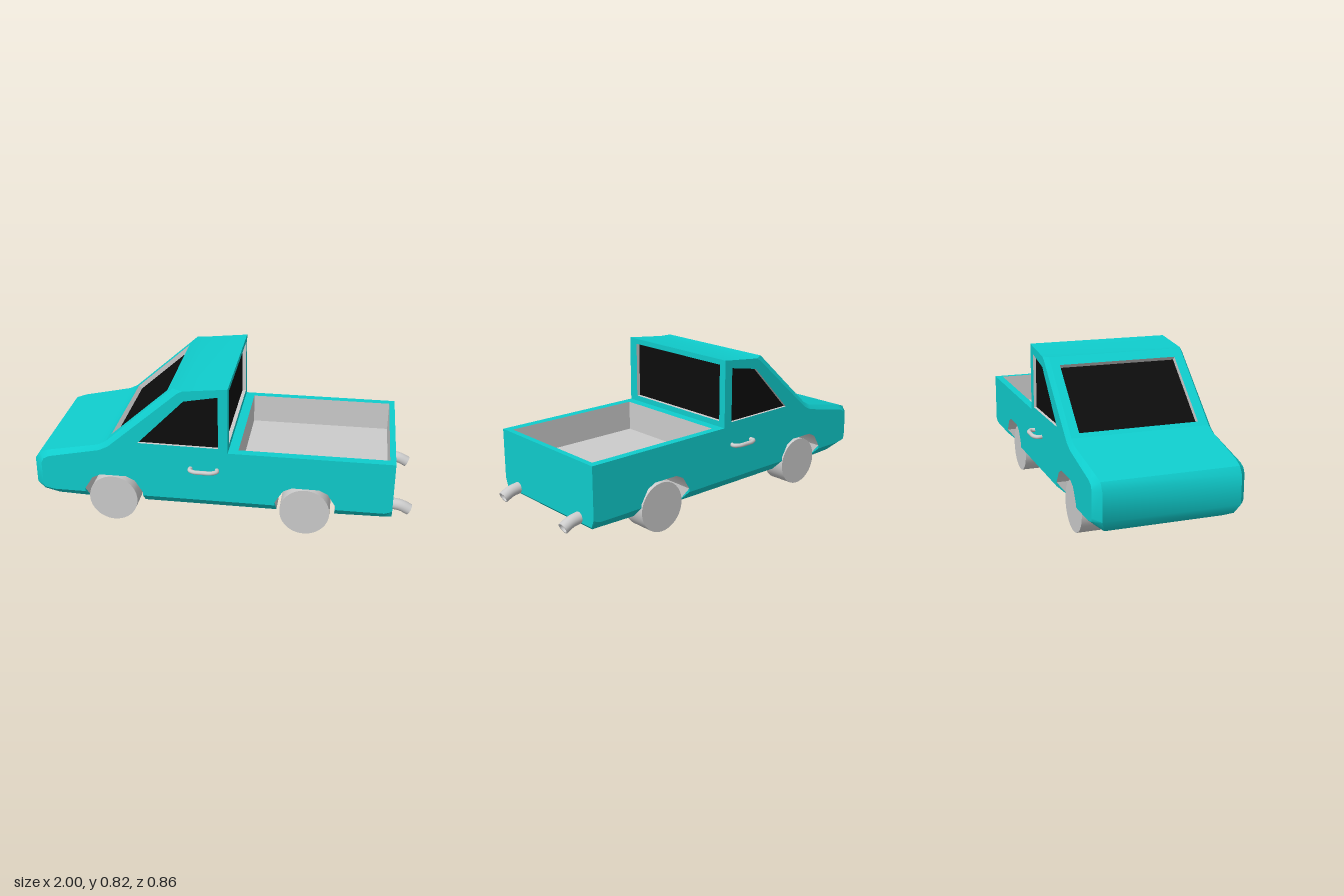
import * as THREE from 'three';
import { toCreasedNormals } from 'three/addons/utils/BufferGeometryUtils.js';

const paint = new THREE.MeshStandardMaterial({ color: 0x0fcccc });
const glass = new THREE.MeshStandardMaterial({ color: 0x0c0c0c });
const grey = new THREE.MeshStandardMaterial({ color: 0xcccccc });
const greyBoth = new THREE.MeshStandardMaterial({ color: 0xcccccc, side: THREE.DoubleSide });
const HALF = 0.38;

function add(parent, name, geometry, material) {
  const mesh = new THREE.Mesh(geometry, material);
  mesh.name = name;
  parent.add(mesh);
  return mesh;
}

// geometry from a list of four-cornered faces, soft over shallow edges
function quads(faces) {
  const pos = [];
  for (const [a, b, c, d] of faces) pos.push(...a, ...b, ...c, ...a, ...c, ...d);
  const g = new THREE.BufferGeometry();
  g.setAttribute('position', new THREE.Float32BufferAttribute(pos, 3));
  return toCreasedNormals(g, 0.6);
}

const toPoints = (list) => list.map(([x, y]) => new THREE.Vector2(x, y));

// sunken walls and floor behind an opening in the local xy plane
function recess(parent, name, hole, depth, floorMaterial) {
  const walls = hole.map(([x, y], i) => {
    const [u, v] = hole[(i + 1) % hole.length];
    return [[x, y, 0], [u, v, 0], [u, v, -depth], [x, y, -depth]];
  });
  add(parent, name + 'Frame', quads(walls), greyBoth);
  const floor = new THREE.ShapeGeometry(new THREE.Shape(toPoints(hole)));
  add(parent, name, floor.translate(0, 0, -depth), floorMaterial);
}

// flat body panel with an opening; local x runs along z, local y along the profile
function openPanel(parent, name, p, q, [z0, z1, s0, s1], depth, floorMaterial) {
  const d = new THREE.Vector3(q[0] - p[0], q[1] - p[1], 0);
  const length = d.length(), w = p[4];
  d.normalize();
  const group = new THREE.Group();
  group.name = name + 'Panel';
  const basis = new THREE.Matrix4().makeBasis(
    new THREE.Vector3(0, 0, 1), d, new THREE.Vector3(-d.y, d.x, 0));
  group.quaternion.setFromRotationMatrix(basis);
  group.position.set(p[0], p[1], 0);
  const hole = [[z0, s0], [z1, s0], [z1, s1], [z0, s1]];
  const shape = new THREE.Shape(toPoints([[-w, 0], [w, 0], [w, length], [-w, length]]));
  shape.holes.push(new THREE.Path(toPoints(hole)));
  add(group, name + 'Surround', new THREE.ShapeGeometry(shape), paint);
  recess(group, name, hole, depth, floorMaterial);
  parent.add(group);
}

// wheel arch outline, rear to front; only its lower corners follow the sill bevel
const arch = (c) => [
  [c + 0.152, 0.115, c + 0.157, 0.18, 0.31, 'under'], [c + 0.157, 0.2, , , , 'under'],
  [c + 0.115, 0.268, , , , 'under'], [c + 0.07, 0.29, , , , 'under'],
  [c - 0.07, 0.29, , , , 'under'], [c - 0.115, 0.268, , , , 'under'],
  [c - 0.157, 0.2, , , , 'under'], [c - 0.152, 0.115, c - 0.157, 0.18, 0.31, 'under'],
];

export function createModel() {
  const model = new THREE.Group();
  model.name = 'pickupTruck';

  // side profile: x, y, then the point where its bevel meets the flank,
  // the half width at x, y, and what the next stretch is
  const profile = [
    [-0.9, 0.115, -0.9, 0.18, 0.30],
    [-0.97, 0.15, -0.95, 0.19, 0.325],
    [-1, 0.2, -0.958, 0.21, 0.345],
    [-1, 0.345, -0.958, 0.335, 0.345],
    [-0.975, 0.383, -0.945, 0.362, 0.345],
    [-0.92, 0.402, -0.915, 0.378, 0.35],
    [-0.65, 0.457, -0.64, 0.435, 0.36],
    [-0.605, 0.48, -0.59, 0.46, 0.36, 'windscreen'],
    [-0.24, 0.805, -0.217, 0.785, 0.36],
    [-0.19, 0.8],
    [0.04, 0.825, , , , 'rearWindow'],
    [0.04, 0.467, , , , 'cargoBed'],
    [0.89, 0.467],
    [0.89, 0.2],
    [0.89, 0.155, 0.88, 0.19, 0.362],
    [0.85, 0.12, 0.85, 0.18, 0.31, 'under'],
    ...arch(0.443), ...arch(-0.57),
  ].map(([x, y, qx = x, qy = y, w = HALF, kind = 'skin']) => [x, y, qx, qy, w, kind]);

  // skin across the body, and bevels along one flank
  const faces = { skin: [], under: [] }, bevels = [];
  profile.forEach((p, i) => {
    const q = profile[(i + 1) % profile.length];
    bevels.push([[p[2], p[3], HALF], [q[2], q[3], HALF], [q[0], q[1], q[4]], [p[0], p[1], p[4]]]);
    if (faces[p[5]]) faces[p[5]].push(
      [[p[0], p[1], p[4]], [q[0], q[1], q[4]], [q[0], q[1], -q[4]], [p[0], p[1], -p[4]]]);
    if (p[5] === 'windscreen') openPanel(model, p[5], p, q, [-0.315, 0.31, 0.027, 0.435], 0.025, glass);
    if (p[5] === 'rearWindow') openPanel(model, p[5], p, q, [-0.34, 0.325, 0.028, 0.328], 0.02, glass);
    if (p[5] === 'cargoBed') openPanel(model, p[5], p, q, [-0.34, 0.335, 0.05, 0.82], 0.16, grey);
  });
  add(model, 'bodySkin', quads(faces.skin), paint);
  add(model, 'underbody', quads(faces.under), grey);

  // everything that is the same on both flanks
  const side = new THREE.Group();
  side.name = 'leftSide';
  const windowOutline = [[-0.43, 0.493], [-0.01, 0.49], [-0.01, 0.778], [-0.185, 0.745]];
  const flank = new THREE.Shape(toPoints(profile.map((p) => [p[2], p[3]])));
  flank.holes.push(new THREE.Path(toPoints(windowOutline)));
  add(side, 'flank', new THREE.ShapeGeometry(flank).translate(0, 0, HALF), paint);
  add(side, 'flankBevel', quads(bevels), paint);
  const sideWindow = new THREE.Group();
  sideWindow.name = 'sideWindowOpening';
  sideWindow.position.z = HALF;
  recess(sideWindow, 'sideWindow', windowOutline, 0.015, glass);
  side.add(sideWindow);

  // wheels
  for (const [name, x] of [['frontWheel', -0.585], ['rearWheel', 0.44]]) {
    const wheel = new THREE.CylinderGeometry(0.131, 0.131, 0.132, 48).rotateX(Math.PI / 2);
    add(side, name, wheel, grey).position.set(x, 0.131, 0.281);
  }

  // door handle
  const grip = new THREE.CatmullRomCurve3([
    [-0.152, 0.37], [-0.156, 0.4], [-0.13, 0.418], [-0.085, 0.42],
    [-0.04, 0.418], [-0.014, 0.4], [-0.018, 0.37],
  ].map(([x, z]) => new THREE.Vector3(x, 0.366, z)));
  add(side, 'doorHandle', new THREE.TubeGeometry(grip, 32, 0.011, 12), grey);

  // exhaust: outer and inner pipe joined by a rim
  const pipe = new THREE.CatmullRomCurve3([
    [0.84, 0.18], [0.9, 0.176], [0.94, 0.168], [0.983, 0.147],
  ].map(([x, y]) => new THREE.Vector3(x, y, 0.262)));
  add(side, 'exhaustPipe', new THREE.TubeGeometry(pipe, 16, 0.03, 24), greyBoth);
  add(side, 'exhaustBore', new THREE.TubeGeometry(pipe, 16, 0.023, 24), greyBoth);
  const rim = add(side, 'exhaustRim', new THREE.RingGeometry(0.023, 0.03, 24), greyBoth);
  rim.position.copy(pipe.getPoint(1));
  rim.quaternion.setFromUnitVectors(new THREE.Vector3(0, 0, 1), pipe.getTangent(1));

  const otherSide = side.clone();
  otherSide.name = 'rightSide';
  otherSide.scale.z = -1;
  model.add(side, otherSide);
  return model;
}
